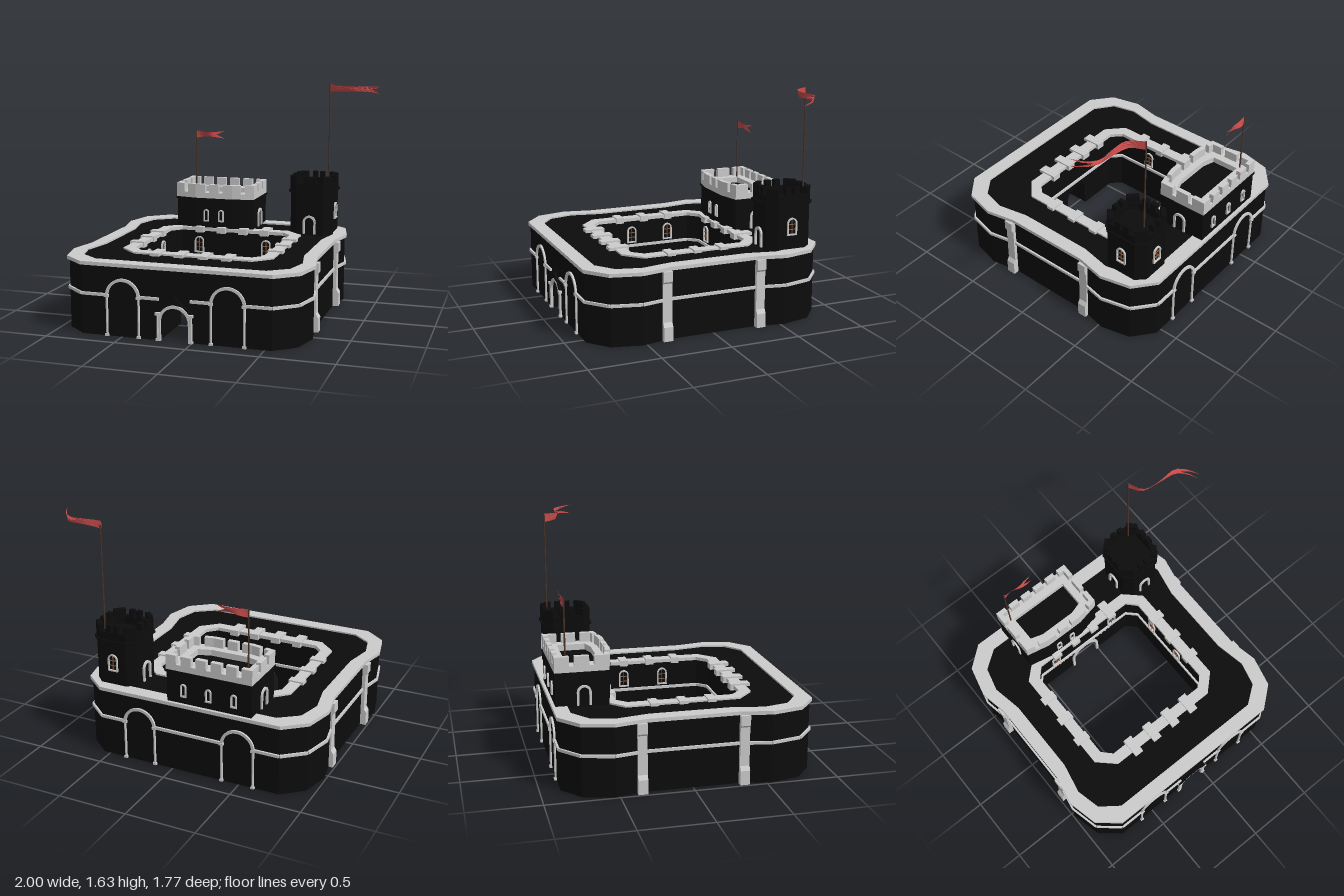
import * as THREE from 'three';

const CX = -0.12;
const mat = (color) => new THREE.MeshStandardMaterial({ color, side: THREE.DoubleSide, flatShading: true });
const stone = mat(0xcccccc), dark = mat(0x0c0c0c), wood = mat(0x4a3428), frameWood = mat(0x8a5a3c), cloth = mat(0xc84a4a);

function add(parent, name, geo, material, x = 0, y = 0, z = 0, ry = 0) {
  const m = new THREE.Mesh(geo, material);
  m.name = name;
  m.position.set(x, y, z);
  m.rotation.y = ry;
  parent.add(m);
  return m;
}
const box = (w, h, d) => new THREE.BoxGeometry(w, h, d);

// Plan outline [x, z] mirrored from one quarter, starting at the front right
function ring(q, cx = CX, cz = 0) {
  const r = [...q].reverse();
  const part = (a, sx, sz) => a.map(([x, z]) => [cx + sx * x, cz + sz * z]);
  return [...part(q, 1, 1), ...part(r, 1, -1), ...part(q, -1, -1), ...part(r, -1, 1)];
}
const scaled = (poly, s, cx, cz) => poly.map(([x, z]) => [cx + (x - cx) * s, cz + (z - cz) * s]);
const vecs = (poly) => poly.map(([x, z]) => new THREE.Vector2(x, -z));

// Horizontal slab or ring of a given height
function slab(parent, name, outer, inner, y, h, material) {
  const s = new THREE.Shape(vecs(outer));
  if (inner) s.holes.push(new THREE.Path(vecs(inner)));
  const g = h ? new THREE.ExtrudeGeometry(s, { depth: h, bevelEnabled: false }) : new THREE.ShapeGeometry(s);
  return add(parent, name, g.rotateX(-Math.PI / 2), material, 0, y, 0);
}

function eachEdge(poly, fn) {
  poly.forEach((a, i) => {
    const b = poly[(i + 1) % poly.length], dx = b[0] - a[0], dz = b[1] - a[1];
    fn(a, b, Math.hypot(dx, dz), Math.atan2(-dz, dx), i);
  });
}

// Round-headed outline, w wide and h high, standing on y = 0
function archPath(path, cx, w, h) {
  const r = w / 2;
  path.moveTo(cx - r, 0);
  path.lineTo(cx + r, 0);
  path.lineTo(cx + r, h - r);
  path.absarc(cx, h - r, r, 0, Math.PI, false);
  path.lineTo(cx - r, 0);
  return path;
}

// Round-headed surround, open at the foot
function archFrame(w, h, t, d) {
  const r = w / 2, s = new THREE.Shape();
  s.moveTo(r, 0);
  s.lineTo(r, h - r);
  s.absarc(0, h - r, r, 0, Math.PI, false);
  s.lineTo(-r, 0);
  s.lineTo(-r + t, 0);
  s.lineTo(-r + t, h - r);
  s.absarc(0, h - r, r - t, Math.PI, 0, true);
  s.lineTo(r - t, 0);
  return new THREE.ExtrudeGeometry(s, { depth: d, bevelEnabled: false, curveSegments: 10 });
}

// Framed window; bars adds the wooden glazing bars
function archWindow(parent, name, w, h, x, y, z, ry, bars = false) {
  const g = new THREE.Group();
  g.name = name;
  g.position.set(x, y, z);
  g.rotation.y = ry;
  add(g, 'windowFrame', archFrame(w, h, 0.01, 0.012), stone);
  add(g, 'windowSill', box(w, 0.01, 0.014), stone, 0, 0.005, 0.006);
  if (bars) {
    add(g, 'uprightBar', box(0.005, h - 0.01, 0.006), frameWood, 0, h / 2, 0.004);
    for (const k of [0.33, 0.62]) add(g, 'crossBar', box(w - 0.015, 0.005, 0.006), frameWood, 0, h * k, 0.004);
  }
  parent.add(g);
}

// Wall of flat panels, with arches cut out of chosen edges
function wall(parent, name, poly, h, arches = {}) {
  eachEdge(poly, (a, b, L, ry, i) => {
    const s = new THREE.Shape([[0, 0], [L, 0], [L, h], [0, h]].map(([x, y]) => new THREE.Vector2(x, y)));
    if (arches[i]) {
      const [w, ah] = arches[i];
      const p = new THREE.Shape();
      archPath(p, L / 2, w, ah);
      s.holes.push(new THREE.Path(p.getPoints(10).map((v) => v.setY(Math.max(v.y, 0.0005)))));
    }
    add(parent, name, new THREE.ShapeGeometry(s), dark, a[0], 0, a[1], ry);
  });
}

// Merlons along each edge: plan(i) gives [count, gap, end margin]
function merlons(parent, poly, y, h, t, material, plan) {
  eachEdge(poly, (a, b, L, ry, i) => {
    const [n, gap, m] = plan(i), w = (L - 2 * m - (n - 1) * gap) / n;
    for (let k = 0; k < n; k++) {
      const g = box(w, h, t).translate(m + w / 2 + k * (w + gap), h / 2, -t / 2);
      add(parent, 'merlon', g, material, a[0], y, a[1], ry);
    }
  });
}

function column(parent, x, z, h) {
  add(parent, 'columnShaft', new THREE.CylinderGeometry(0.009, 0.009, h, 8), stone, x, h / 2, z);
  add(parent, 'columnCapital', box(0.03, 0.018, 0.026), stone, x, h - 0.009, z);
  add(parent, 'columnBase', box(0.026, 0.015, 0.024), stone, x, 0.0075, z);
}

// Pole with a swallow-tailed flag that follows a plan path
function flag(parent, x, z, y0, y1, yMid, half, path) {
  const g = new THREE.Group();
  g.name = 'flag';
  add(g, 'flagPole', new THREE.CylinderGeometry(0.005, 0.006, y1 - y0, 8), wood, x, (y0 + y1) / 2, z);
  const curve = new THREE.CatmullRomCurve3(path.map(([px, pz]) => new THREE.Vector3(px, 0, pz)));
  const geo = new THREE.PlaneGeometry(1, 2, 14, 4), p = geo.attributes.position;
  for (let i = 0; i < p.count; i++) {
    const v = p.getY(i), u = (p.getX(i) + 0.5) * (1 - 0.28 * (1 - Math.abs(v)));
    const c = curve.getPointAt(u);
    const spread = 1 - 0.4 * Math.sin(u * Math.PI);
    p.setXYZ(i, c.x, yMid + v * half * spread, c.z + 0.008 * v * Math.sin(u * 6));
  }
  geo.computeVertexNormals();
  add(g, 'flagCloth', geo, cloth);
  parent.add(g);
}

function createModel() {
  const root = new THREE.Group();
  root.name = 'castle';

  // Curtain wall, courtyard wall, roof and copings
  const trimOut = ring([[0.675, 0.877], [0.83, 0.75], [0.882, 0.53], [0.84, 0.32]]);
  const trimIn = ring([[0.605, 0.775], [0.74, 0.675], [0.783, 0.5], [0.74, 0.28]]);
  const outer = ring([[0.668, 0.862], [0.815, 0.74], [0.866, 0.53], [0.825, 0.32]]);
  const yardIn = ring([[0.408, 0.437], [0.475, 0.367]]);
  const yardOut = ring([[0.43, 0.518], [0.555, 0.4]]);
  const yard = ring([[0.415, 0.45], [0.487, 0.378]]);
  wall(root, 'curtainWall', outer, 0.49, { 15: [0.21, 0.24] });
  wall(root, 'courtyardWall', yard, 0.49, { 3: [0.22, 0.25], 7: [0.21, 0.24] });
  slab(root, 'roofWalk', outer, yard, 0.498, 0, dark);
  slab(root, 'outerCoping', trimOut, trimIn, 0.485, 0.025, stone);
  slab(root, 'innerCoping', yardOut, yardIn, 0.485, 0.025, stone);

  // Low blocks on the courtyard coping
  for (const s of [-1, 1]) {
    for (const x of [-0.38, -0.205, -0.03, 0.14]) add(root, 'copingBlock', box(0.068, 0.045, 0.145), stone, x, 0.498, s * 0.485);
    for (const z of [-0.2, 0, 0.2]) add(root, 'copingBlock', box(0.11, 0.045, 0.06), stone, CX + s * 0.52, 0.498, z);
  }

  // String course, broken by the arches at front and back
  const course = (poly, out) => eachEdge(poly, (a, b, L, ry, i) => {
    const half = poly.length / 2, long = out > 0 && i % half === half - 1;
    const mid = L / 2;
    const spans = long ? [[0, mid - 0.485], [mid - 0.255, i === half - 1 ? mid + 0.255 : mid - 0.11],
      [mid + (i === half - 1 ? 0.255 : 0.11), mid + 0.255], [mid + 0.485, L]] : [[0, L]];
    for (const [s, e] of spans) {
      if (e - s > 0.005) add(root, 'stringCourse', box(e - s, 0.02, 0.024).translate((s + e) / 2, 0, out), stone, a[0], 0.286, a[1], ry);
    }
  });
  course(outer, 0.002);
  course(yard, -0.002);

  // Blind arches on columns, front and back
  for (const s of [-1, 1]) {
    for (const x of [-0.49, 0.25]) {
      const ry = s > 0 ? 0 : Math.PI;
      add(root, 'blindArch', archFrame(0.25, 0.125, 0.02, 0.016), stone, x, 0.28, s * 0.86, ry);
      for (const k of [-1, 1]) column(root, x + k * 0.115, s * 0.868, 0.29);
    }
  }

  // Gatehouse: arch, columns, gable and passage
  add(root, 'gateArch', archFrame(0.235, 0.25, 0.02, 0.018), stone, CX, 0, 0.86);
  for (const k of [-1, 1]) {
    column(root, CX + k * 0.118, 0.872, 0.195);
    add(root, 'passageWall', new THREE.PlaneGeometry(0.41, 0.135), dark, CX + k * 0.105, 0.0675, 0.656, Math.PI / 2);
  }
  const vault = new THREE.CylinderGeometry(0.105, 0.105, 0.41, 12, 1, true, -Math.PI / 2, Math.PI);
  add(root, 'passageVault', vault.rotateX(-Math.PI / 2), dark, CX, 0.135, 0.656);
  const gable = new THREE.Shape([[-0.13, 0.2], [-0.105, 0.2], [-0.06, 0.245], [0, 0.255], [0.06, 0.245], [0.105, 0.2], [0.13, 0.2], [0, 0.305]]
    .map(([x, y]) => new THREE.Vector2(x, y)));
  add(root, 'gateGable', new THREE.ExtrudeGeometry(gable, { depth: 0.02, bevelEnabled: false }), dark, CX, 0, 0.86);
  add(root, 'gableFinial', new THREE.ConeGeometry(0.008, 0.03, 6), dark, CX, 0.315, 0.87);

  // Courtyard arch with a row of teeth above, and windows
  add(root, 'courtyardArch', archFrame(0.25, 0.265, 0.02, 0.012), stone, CX, 0, -0.45);
  for (let i = 0; i < 14; i++) add(root, 'tooth', box(0.012, 0.03, 0.01), stone, CX - 0.24 + i * 0.037, 0.262, -0.445);
  for (const s of [-1, 1]) {
    for (const z of [-0.2, 0.1]) archWindow(root, 'courtyardWindow', 0.075, 0.13, CX + s * 0.485, 0.31, z, -s * Math.PI / 2, true);
    archWindow(root, 'courtyardWindow', 0.075, 0.13, CX + s * 0.27, 0.31, -0.448, 0, true);
  }

  // Side buttresses with flared feet and blocky heads
  const profile = [[-0.03, 0], [0.04, 0], [0.04, 0.1], [0.022, 0.13], [0.022, 0.4], [0.036, 0.415], [0.036, 0.485], [-0.03, 0.485]];
  const buttress = new THREE.ExtrudeGeometry(new THREE.Shape(profile.map(([x, y]) => new THREE.Vector2(x, y))), { depth: 0.066, bevelEnabled: false })
    .translate(0, 0, -0.033);
  for (const s of [-1, 1]) {
    for (const z of [-0.347, 0.347]) add(root, 'buttress', buttress, stone, CX + s * 0.828, 0, z, s > 0 ? 0 : Math.PI);
  }

  // Keep with a bowed front and a pale parapet
  const keep = new THREE.Group();
  keep.name = 'keep';
  root.add(keep);
  const kp = [[0.035, -0.49], [0.035, -0.855], [-0.585, -0.855], [-0.585, -0.49], [-0.42, -0.455], [-0.13, -0.455]];
  const kTop = scaled(kp, 1.015, -0.275, -0.655);
  const kIn = [[-0.05, -0.565], [-0.05, -0.765], [-0.5, -0.765], [-0.5, -0.565], [-0.41, -0.537], [-0.14, -0.537]];
  slab(keep, 'keepBody', kp, null, 0.49, 0.245, dark);
  slab(keep, 'keepCorbel', scaled(kp, 1.035, -0.275, -0.655), kIn, 0.725, 0.017, dark);
  slab(keep, 'keepParapet', kTop, kIn, 0.742, 0.043, stone);
  merlons(keep, kTop, 0.785, 0.065, 0.035, stone, (i) => [[3, 6, 3, 2, 3, 2][i], 0.034, 0]);
  for (const x of [-0.335, -0.215]) archWindow(keep, 'keepWindow', 0.044, 0.095, x, 0.56, -0.456, 0);
  for (const x of [-0.46, -0.275, -0.09]) archWindow(keep, 'keepWindow', 0.044, 0.095, x, 0.56, -0.854, Math.PI);
  for (const s of [-1, 1]) add(keep, 'keepDoorFrame', archFrame(0.1, 0.14, 0.016, 0.014), stone, -0.275 + s * 0.308, 0.51, -0.66, s * Math.PI / 2);
  flag(keep, -0.525, -0.775, 0.76, 1.24, 1.205, 0.03, [[-0.525, -0.775], [-0.46, -0.783], [-0.39, -0.772], [-0.29, -0.779]]);

  // Corner tower with chamfered corners
  const tower = new THREE.Group();
  tower.name = 'tower';
  root.add(tower);
  const tx = 0.487, tz = -0.625;
  const tp = ring([[0.1, 0.17], [0.16, 0.11]], tx, tz);
  const tTop = scaled(tp, 1.02, tx, tz), tIn = scaled(tp, 0.8, tx, tz);
  slab(tower, 'towerBody', tp, null, 0.49, 0.345, dark);
  slab(tower, 'towerBand', scaled(tp, 1.08, tx, tz), null, 0.82, 0.018, dark);
  slab(tower, 'towerParapet', tTop, tIn, 0.835, 0.06, dark);
  merlons(tower, tTop, 0.895, 0.05, 0.035, dark, (i) => (i % 2 ? [2, 0.022, 0.055] : [1, 0, 0]));
  for (const i of [0, 1, 2, 3]) {
    const ry = i * Math.PI / 2, r = i % 2 ? 0.16 : 0.17;
    const x = tx + Math.sin(ry) * r, z = tz + Math.cos(ry) * r;
    if (i === 0 || i === 3) add(tower, 'towerDoorFrame', archFrame(0.1, 0.14, 0.016, 0.014), stone, x, 0.51, z, ry);
    else archWindow(tower, 'towerWindow', 0.076, 0.125, x, 0.61, z, ry, true);
  }
  flag(tower, 0.57, -0.75, 0.83, 1.635, 1.602, 0.032, [[0.57, -0.75], [0.63, -0.655], [0.76, -0.635], [0.89, -0.63], [0.95, -0.58], [1.0, -0.49]]);

  return root;
}

export { createModel };
